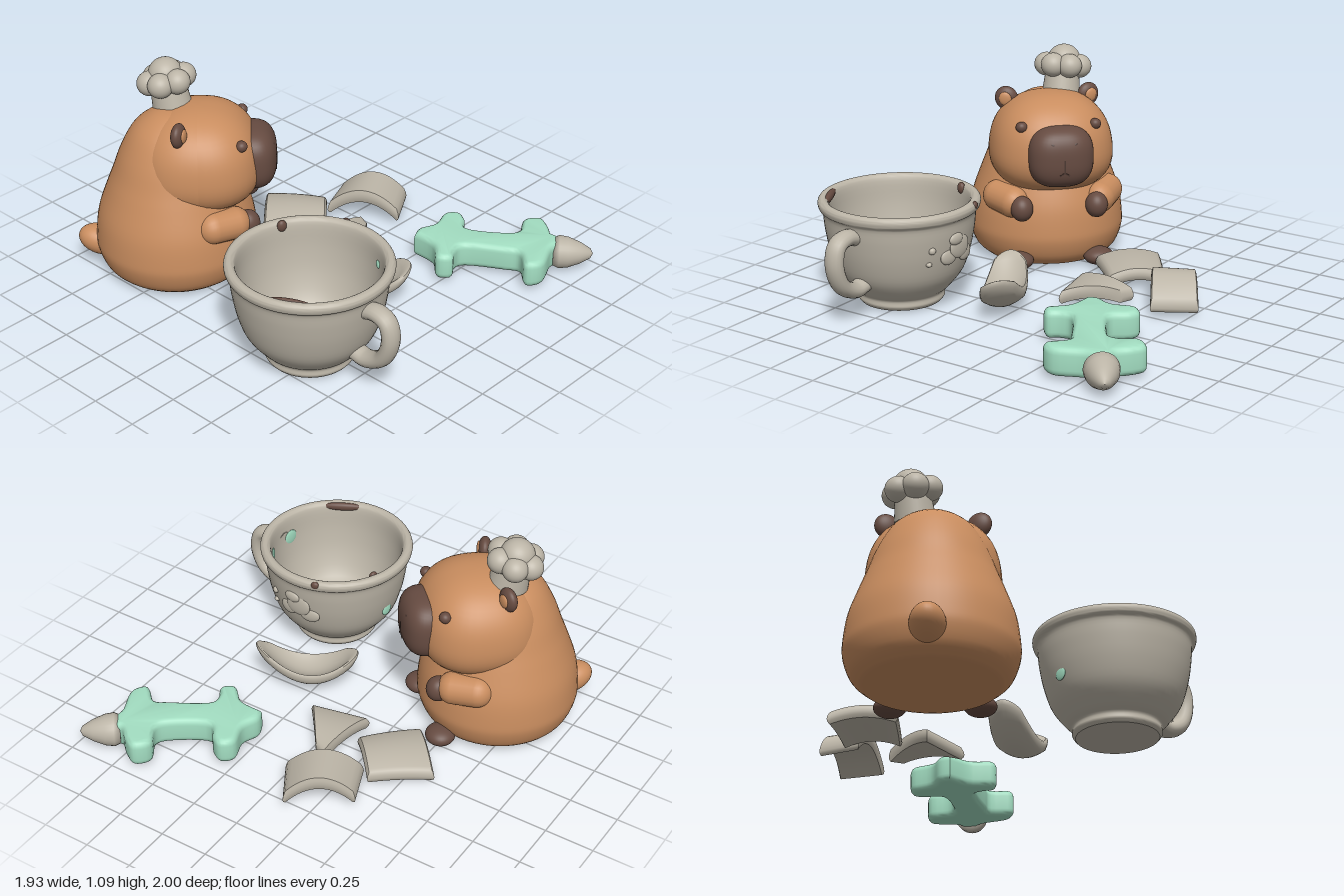
import * as THREE from 'three';
import { toCreasedNormals } from 'three/addons/utils/BufferGeometryUtils.js';

const mat = (name, color) => {
  const m = new THREE.MeshStandardMaterial({ color });
  m.name = name;
  return m;
};

export function createModel() {
  const fur = mat('brown fur', 0xc98d5f);
  const dark = mat('dark brown', 0x664b41);
  const line = mat('deep brown', 0x4a3730);
  const clay = mat('warm grey', 0xbcb5a7);
  const mint = mat('mint green', 0xa3dec2);
  const root = new THREE.Group();

  const add = (parent, name, geo, m, pos = [0, 0, 0], rot = [0, 0, 0]) => {
    const mesh = new THREE.Mesh(geo, m);
    mesh.name = name;
    mesh.position.set(...pos);
    mesh.rotation.set(...rot);
    parent.add(mesh);
    return mesh;
  };
  const blob = (parent, name, m, pos, size, rot) => {
    const mesh = add(parent, name, new THREE.SphereGeometry(1, 32, 22), m, pos, rot);
    mesh.scale.set(...size);
    return mesh;
  };
  const vec2 = (list) => list.map(([x, y]) => new THREE.Vector2(x, y));
  const limb = (parent, name, m, a, b, r) => {
    const A = new THREE.Vector3(...a), B = new THREE.Vector3(...b);
    const mesh = add(parent, name, new THREE.CapsuleGeometry(r, A.distanceTo(B), 10, 20), m);
    mesh.position.copy(A).add(B).multiplyScalar(0.5);
    mesh.quaternion.setFromUnitVectors(new THREE.Vector3(0, 1, 0), B.sub(A).normalize());
    return mesh;
  };
  // sphere squared off by an exponent and narrowed towards the top
  const squareBlob = (sx, sy, sz, e, taper) => {
    const g = new THREE.SphereGeometry(1, 48, 32), p = g.attributes.position;
    for (let i = 0; i < p.count; i++) {
      const v = [p.getX(i), p.getY(i), p.getZ(i)];
      const n = v.reduce((s, c) => s + Math.abs(c) ** e, 0) ** (-1 / e);
      const w = n * (1 - taper * v[1] * n);
      p.setXYZ(i, v[0] * w * sx, v[1] * n * sy, v[2] * w * sz);
    }
    g.computeVertexNormals();
    return g;
  };

  // ---- animal, facing its local +z ----
  const animal = new THREE.Group();
  animal.name = 'animal';
  animal.position.set(-0.42, 0, -0.6);
  animal.rotation.y = Math.PI / 4;
  root.add(animal);

  const bodyCurve = new THREE.SplineCurve(vec2([[0.32, 0.005], [0.37, 0.05], [0.4, 0.13], [0.402, 0.2],
    [0.385, 0.32], [0.34, 0.45], [0.305, 0.54], [0.26, 0.66], [0.19, 0.78], [0.09, 0.85], [0, 0.865]]));
  const bodyPoints = [...vec2([[0, 0], [0.3, 0]]), ...bodyCurve.getPoints(40)];
  bodyPoints[bodyPoints.length - 1].x = 0;
  add(animal, 'body', new THREE.LatheGeometry(bodyPoints, 56), fur);
  add(animal, 'head', squareBlob(0.315, 0.257, 0.305, 2.4, 0.1), fur, [0, 0.623, 0.125]);
  blob(animal, 'tail', fur, [0, 0.125, -0.385], [0.082, 0.075, 0.115], [0.35, 0, 0]);

  // muzzle with nostrils and mouth
  add(animal, 'muzzle', squareBlob(0.168, 0.158, 0.13, 2.7, 0), dark, [0, 0.607, 0.378]);
  add(animal, 'mouthLine', new THREE.BoxGeometry(0.007, 0.07, 0.008), line, [0, 0.58, 0.505]);
  for (const s of [-1, 1]) {
    blob(animal, 'nostril', line, [s * 0.055, 0.69, 0.488], [0.018, 0.011, 0.008], [-0.3, 0, s * 0.5]);
    add(animal, 'mouthCorner', new THREE.BoxGeometry(0.03, 0.007, 0.008), line,
      [s * 0.013, 0.54, 0.502], [0, 0, -s * 0.5]);
    blob(animal, 'eye', dark, [s * 0.19, 0.752, 0.335], [0.03, 0.028, 0.03], [-0.4, s * 0.5, 0]);
    // ear
    blob(animal, 'ear', dark, [s * 0.215, 0.83, 0.035], [0.06, 0.063, 0.034], [0, s * 0.3, -s * 0.35]);
    blob(animal, 'innerEar', fur, [s * 0.226, 0.832, 0.062], [0.032, 0.036, 0.012], [0, s * 0.3, -s * 0.35]);
    // arm and foot
    limb(animal, 'arm', fur, [s * 0.285, 0.355, 0.19], [s * 0.225, 0.345, 0.29], 0.082);
    blob(animal, 'hand', dark, [s * 0.195, 0.328, 0.36], [0.058, 0.066, 0.06]);
    blob(animal, 'foot', dark, [s * 0.21, 0.046, 0.345], [0.078, 0.046, 0.075]);
  }

  // chef hat, leaning a little
  const hat = new THREE.Group();
  hat.name = 'hat';
  hat.position.set(0.08, 0.83, 0.0);
  hat.rotation.set(-0.18, 0, -0.1);
  animal.add(hat);
  add(hat, 'hatBand', new THREE.CylinderGeometry(0.082, 0.1, 0.16, 32), clay, [0, 0.08, 0]);
  for (let i = 0; i < 6; i++) {
    const a = (i / 6) * Math.PI * 2 + 0.3;
    blob(hat, 'hatPuff', clay, [Math.cos(a) * 0.085, 0.15, Math.sin(a) * 0.085], [0.064, 0.062, 0.064]);
  }
  blob(hat, 'hatTop', clay, [0.005, 0.18, 0], [0.085, 0.08, 0.085]);

  // ---- cup ----
  const cup = new THREE.Group();
  cup.name = 'cup';
  cup.position.set(-0.565, 0, 0.46);
  root.add(cup);
  const cupWall = new THREE.SplineCurve(vec2([[0.2, 0.005], [0.215, 0.025], [0.214, 0.055], [0.245, 0.085],
    [0.31, 0.17], [0.347, 0.28], [0.367, 0.39], [0.375, 0.465], [0.392, 0.485], [0.397, 0.512], [0.385, 0.53],
    [0.36, 0.53], [0.343, 0.5], [0.33, 0.38], [0.3, 0.25], [0.24, 0.13], [0.15, 0.08]]));
  add(cup, 'bowl', toCreasedNormals(new THREE.LatheGeometry(
    [...vec2([[0, 0.005]]), ...cupWall.getPoints(64), ...vec2([[0, 0.075]])], 64), 0.8), clay);
  const handlePath = new THREE.CatmullRomCurve3([[0.41, 0.34], [0.425, 0.42], [0.4, 0.48], [0.31, 0.5],
    [0.2, 0.455], [0.15, 0.36], [0.16, 0.29]].map(([y, z]) => new THREE.Vector3(0, y, z)));
  add(cup, 'handle', new THREE.TubeGeometry(handlePath, 48, 0.04, 16), clay).scale.x = 1.25;

  // flat spots on the wall: angle from +z in degrees, then radius, height, size
  const spot = (name, m, degrees, r, y, w, h, d) => {
    const a = THREE.MathUtils.degToRad(degrees);
    blob(cup, name, m, [Math.sin(a) * r, y, Math.cos(a) * r], [w, h, d], [0, a, 0]);
  };
  for (const [a, y, w, h] of [[90, 0.34, 0.07, 0.06], [100, 0.29, 0.055, 0.04], [79, 0.3, 0.05, 0.04],
    [85, 0.385, 0.045, 0.03], [63, 0.35, 0.018, 0.018], [61, 0.28, 0.015, 0.012]]) {
    spot('raisedSplash', clay, a, 0.348 + (y - 0.28) * 0.18, y, w, h, 0.016);
  }
  for (const [a, r, y, s] of [[28, 0.334, 0.42, 0.036], [-9, 0.332, 0.4, 0.042], [62, 0.335, 0.43, 0.02],
    [173, 0.339, 0.25, 0.034]]) {
    spot('mintSpot', mint, a, r, y, s, s, 0.008);
  }
  spot('rimChip', dark, 156, 0.346, 0.51, 0.024, 0.03, 0.018);
  spot('rimChip', dark, -62, 0.346, 0.513, 0.11, 0.022, 0.018);
  spot('rimChip', dark, 107, 0.388, 0.515, 0.022, 0.02, 0.014);

  // ---- broken pieces: a slab stretched between four ground corners and curved by a height rule ----
  const shard = (name, corners, height, thick, round = 0) => {
    const g = new THREE.BoxGeometry(2, 1, 2, 16, 4, 16), p = g.attributes.position;
    for (let i = 0; i < p.count; i++) {
      const a = p.getX(i), b = p.getZ(i), t = p.getY(i);
      // round the corners of the outline and soften the rim
      const soft = 1 - 0.28 * t * t;
      const u = 0.5 + 0.5 * a * soft * Math.sqrt(1 - round * b * b);
      const v = 0.5 + 0.5 * b * soft * Math.sqrt(1 - round * a * a);
      const w = [(1 - u) * (1 - v), u * (1 - v), u * v, (1 - u) * v];
      const at = (k) => corners.reduce((s, c, j) => s + c[k] * w[j], 0);
      p.setXYZ(i, at(0), height(u, v) + (t + 0.5) * thick, at(1));
    }
    return add(root, name, toCreasedNormals(g, 0.9), clay);
  };
  const bow = (t) => 1 - (2 * t - 1) ** 2;
  shard('bowlPiece', [[-0.27, 0.11], [-0.07, 0.03], [0.15, 0.47], [-0.02, 0.61]],
    (u, v) => 0.01 + (1 - bow(v)) * 0.17 + (1 - bow(u)) * 0.05 + u * v * 0.04, 0.055, 0.4);
  shard('squarePiece', [[0.26, -0.645], [0.45, -0.38], [0.24, -0.19], [0.01, -0.42]],
    (u, v) => 0.01 + bow(v) * 0.035 + bow(u) * 0.01, 0.062);
  shard('archPiece', [[0.4, -0.33], [0.6, -0.41], [0.79, -0.12], [0.59, 0]],
    (u, v) => 0.005 + bow(v) * 0.1, 0.07);
  shard('trianglePiece', [[0.09, -0.165], [0.43, -0.11], [0.4, -0.05], [0.155, 0.14]],
    (u) => 0.01 + bow(u) * 0.03, 0.065);

  // ---- bone-shaped pencil ----
  const outline = new THREE.SplineCurve(vec2([[0.4, 0.27], [0.46, 0.25], [0.55, 0.28], [0.66, 0.25], [0.715, 0.3],
    [0.69, 0.36], [0.625, 0.43], [0.72, 0.59], [0.79, 0.635], [0.89, 0.585], [0.96, 0.64], [0.93, 0.71],
    [0.88, 0.77], [0.88, 0.81], [0.83, 0.855], [0.76, 0.86], [0.63, 0.91], [0.555, 0.86], [0.625, 0.77],
    [0.595, 0.7], [0.49, 0.53], [0.42, 0.52], [0.36, 0.55], [0.315, 0.49], [0.39, 0.4], [0.4, 0.27]])
    .map((q) => q.set(q.x, -q.y)));
  const boneGeo = new THREE.ExtrudeGeometry(new THREE.Shape(outline.getPoints(110).slice(0, -1)), {
    depth: 0.07, bevelEnabled: true, bevelThickness: 0.035, bevelSize: 0.028, bevelOffset: -0.028, bevelSegments: 5,
  });
  boneGeo.rotateX(-Math.PI / 2);
  add(root, 'bonePencil', toCreasedNormals(boneGeo, 0.8), mint, [0, 0.05, 0]);
  const tip = add(root, 'pencilTip', new THREE.LatheGeometry(
    vec2([[0, -0.02], [0.07, -0.015], [0.084, 0.015], [0.078, 0.06], [0.055, 0.12], [0.025, 0.172], [0, 0.185]]), 28),
    clay, [0.842, 0.08, 0.832]);
  tip.quaternion.setFromUnitVectors(new THREE.Vector3(0, 1, 0), new THREE.Vector3(0.11, 0, 0.145).normalize());

  return root;
}
